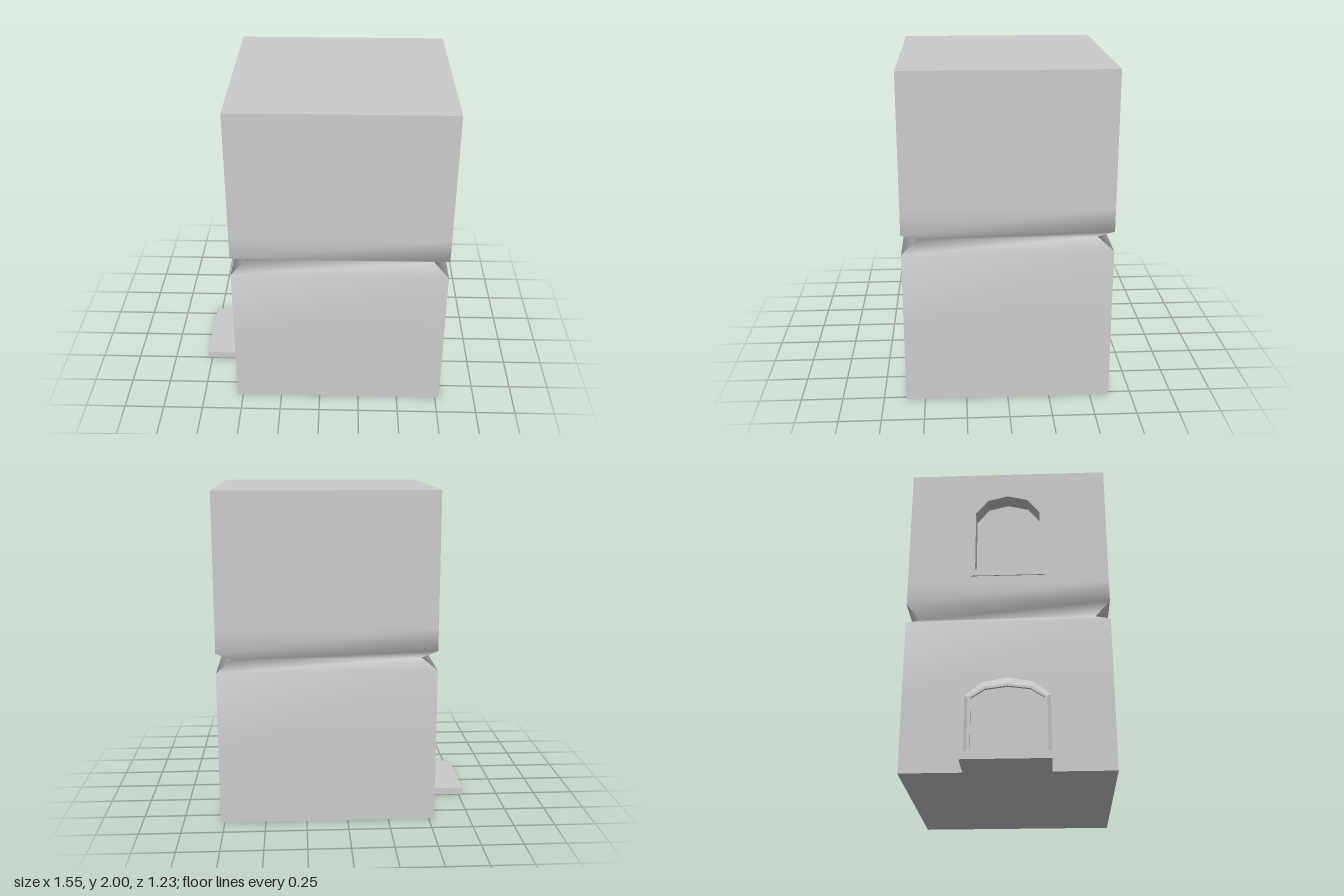
import * as THREE from 'three';

const X0 = -0.535, X1 = 0.775, Z = 0.615;
const material = new THREE.MeshStandardMaterial({ color: 0xcccccc });

function addMesh(group, name, geometry) {
  const mesh = new THREE.Mesh(geometry, material);
  mesh.name = name;
  group.add(mesh);
  return mesh;
}

// Faceted arch outline as [z, y], counter-clockwise seen from -x
function arch(w, bottom, spring, top) {
  const shoulder = spring + (top - spring) * 0.75;
  return [[-w, bottom], [w, bottom], [w, spring], [w * 0.62, shoulder],
    [0, top], [-w * 0.62, shoulder], [-w, spring]];
}

const toPoints = (loop) => loop.map(([z, y]) => new THREE.Vector2(z, y));

// Flat face looking towards -x
function sideFace(shape, x) {
  return new THREE.ShapeGeometry(shape).rotateY(-Math.PI / 2).translate(x, 0, 0);
}

// Hard-edged strip through successive arch loops, each given as [x, loop]
function loft(sections) {
  const pos = [];
  for (let s = 0; s < sections.length - 1; s++) {
    const [xa, a] = sections[s], [xb, b] = sections[s + 1];
    a.forEach((_, i) => {
      const j = (i + 1) % a.length;
      const p = (x, [z, y]) => [x, y, z];
      const a0 = p(xa, a[i]), a1 = p(xa, a[j]), b0 = p(xb, b[i]), b1 = p(xb, b[j]);
      pos.push(...a0, ...a1, ...b1, ...a0, ...b1, ...b0);
    });
  }
  const geo = new THREE.BufferGeometry();
  geo.setAttribute('position', new THREE.Float32BufferAttribute(pos, 3));
  geo.computeVertexNormals();
  return geo;
}

// One wall: rings of [y, inset], smooth up the wall and sharp at the corners
function wall(rings, from, to) {
  const pos = [], index = [];
  rings.forEach(([y, inset], r) => {
    for (const [sx, sz] of [from, to]) {
      pos.push(sx < 0 ? X0 + inset : X1 - inset, y, sz * (Z - inset));
    }
    if (r > 0) {
      const k = (r - 1) * 2;
      index.push(k, k + 1, k + 3, k, k + 3, k + 2);
    }
  });
  const geo = new THREE.BufferGeometry();
  geo.setAttribute('position', new THREE.Float32BufferAttribute(pos, 3));
  geo.setIndex(index);
  geo.computeVertexNormals();
  return geo;
}

export function createModel() {
  const model = new THREE.Group();
  model.name = 'twoStoreyHouse';

  // Walls with the V groove between the storeys
  const rings = [[0, 0], [0.45, 0], [0.94, 0], [1, 0.085], [1.06, 0], [1.2, 0], [2, 0]];
  const corners = [[-1, 1], [1, 1], [1, -1], [-1, -1]];
  ['frontWall', 'leftWall', 'backWall', 'entranceWall'].forEach((name, i) => {
    const used = name === 'entranceWall' ? rings.slice(0, -1) : rings;
    addMesh(model, name, wall(used, corners[i], corners[(i + 1) % 4]));
  });

  // Upper entrance wall, pierced for the window
  const opening = arch(0.2, 1.285, 1.69, 1.815);
  const upper = new THREE.Shape(toPoints([[-Z, 1.2], [Z, 1.2], [Z, 2], [-Z, 2]]));
  upper.holes.push(new THREE.Path(toPoints(opening)));
  addMesh(model, 'upperEntranceWall', sideFace(upper, X0));

  // Roof and floor
  for (const [name, y, turn] of [['roof', 2, -1], ['floor', 0, 1]]) {
    const plane = new THREE.PlaneGeometry(X1 - X0, 2 * Z).rotateX(turn * Math.PI / 2);
    addMesh(model, name, plane.translate((X0 + X1) / 2, y, 0));
  }

  // Window: raised frame, deep reveal and pane
  addMesh(model, 'windowFrame', loft([
    [X0, arch(0.225, 1.25, 1.7, 1.835)],
    [-0.56, arch(0.235, 1.24, 1.7, 1.855)],
    [-0.56, opening],
    [-0.45, opening],
  ]));
  addMesh(model, 'windowPane', sideFace(new THREE.Shape(toPoints(opening)), -0.45));

  // Door: bevelled frame around a shallow panel
  const doorway = arch(0.212, 0.085, 0.44, 0.51);
  addMesh(model, 'doorFrame', loft([
    [X0, arch(0.25, 0.045, 0.46, 0.57)],
    [-0.555, arch(0.23, 0.08, 0.445, 0.525)],
    [-0.555, doorway],
    [-0.538, doorway],
  ]));
  addMesh(model, 'doorPanel', sideFace(new THREE.Shape(toPoints(doorway)), -0.538));

  // Doorstep
  addMesh(model, 'doorstep', new THREE.BoxGeometry(0.24, 0.045, 0.5))
    .position.set(-0.655, 0.0225, 0);

  return model;
}
